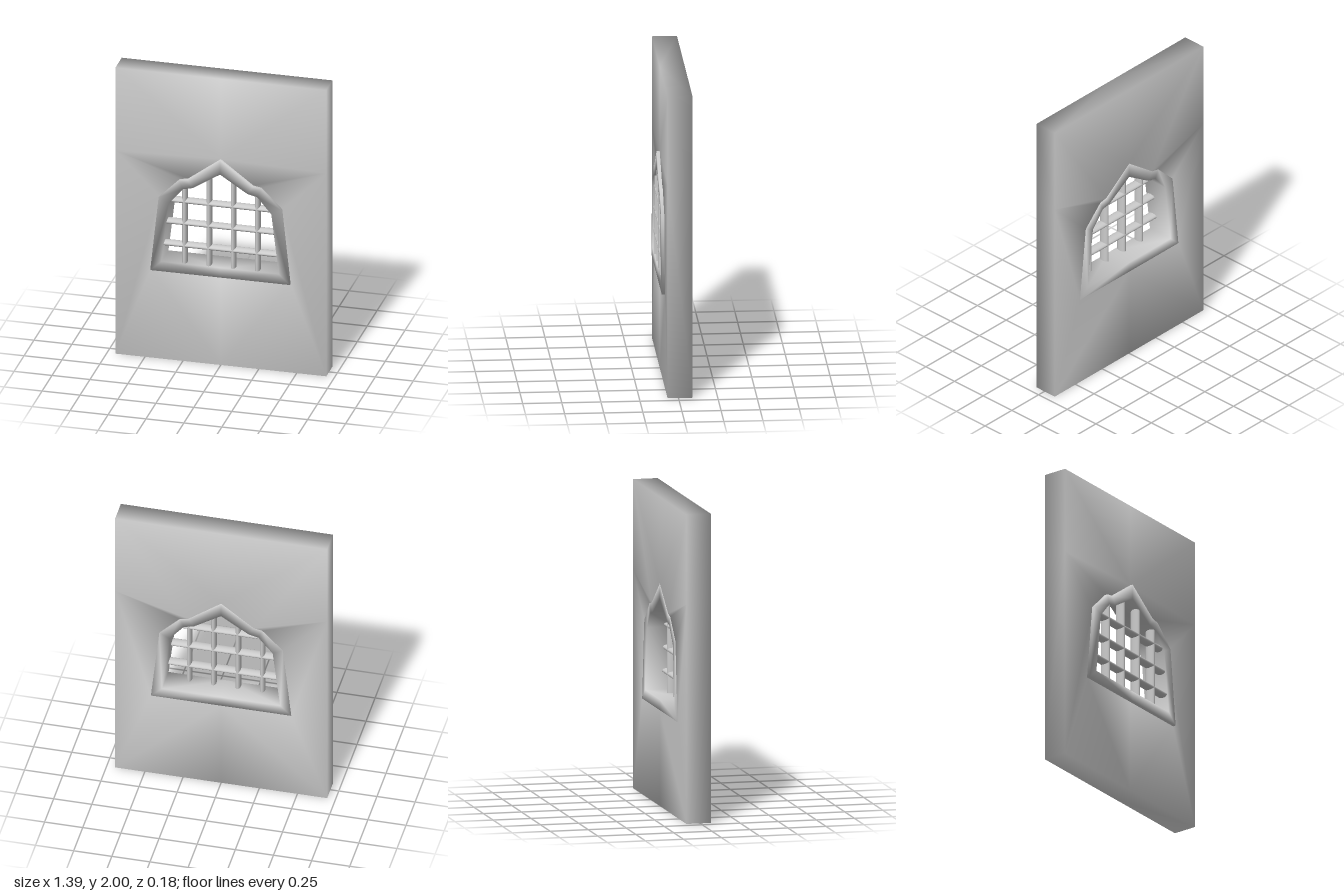
import * as THREE from 'three';
import { mergeVertices } from 'three/addons/utils/BufferGeometryUtils.js';

const BACK = -0.09, WALL_FRONT = 0.07, FRAME_FRONT = 0.09;
const BAR_RADIUS = 0.017, BAR_DEPTH = 2, BAR_Z = 0.052;

// Left halves of the outlines, from the bottom centre round to the top centre
const OUTER = [[0, 0.62], [-0.46, 0.62], [-0.405, 1.135], [-0.27, 1.27], [-0.215, 1.28], [0, 1.44]];
const INNER = [[0, 0.688], [-0.387, 0.688], [-0.338, 1.1], [-0.245, 1.21], [-0.18, 1.225], [0, 1.34]];

// Wall edge, point for point with the opening (the apex is used twice)
const WALL = [[0, 0], [-0.695, 0], [-0.695, 1.42], [-0.695, 1.42], [-0.695, 1.42], [-0.695, 2], [0, 2]];
const OPENING = [...OUTER, [0, 1.44]];

// Mirrors a half outline about x = 0 into a closed loop
function mirrored(half) {
  return [...half, ...half.slice(1, -1).reverse().map(([x, y]) => [-x, y])];
}

// Ring between two matched outlines, with normals shared across its edges
function softRing(outerHalf, innerHalf, front) {
  const outer = mirrored(outerHalf), inner = mirrored(innerHalf);
  const n = outer.length, positions = [], index = [];
  const loops = [[outer, BACK], [outer, front], [inner, front], [inner, BACK]];
  for (const [loop, z] of loops) for (const [x, y] of loop) positions.push(x, y, z);

  for (let k = 0; k < 4; k++) {
    for (let i = 0; i < n; i++) {
      const j = (i + 1) % n, next = (k + 1) % 4;
      const a = k * n + i, b = k * n + j, c = next * n + i, d = next * n + j;
      // The diagonal flips on the right half to keep the ring symmetric
      if (i < n / 2) index.push(a, d, b, a, c, d);
      else index.push(a, c, b, b, c, d);
    }
  }

  let geo = new THREE.BufferGeometry();
  geo.setAttribute('position', new THREE.Float32BufferAttribute(positions, 3));
  geo.setIndex(index);
  geo = mergeVertices(geo, 1e-4);
  geo.computeVertexNormals();
  return geo;
}

// Follows the sloping inner outline: axis 0 gives y at an x, axis 1 gives x at a y
function innerAt(axis, value) {
  const i = INNER.findIndex((p, k) => k > 1 && value <= p[axis]);
  const a = INNER[i - 1], b = INNER[i];
  const t = (value - a[axis]) / (b[axis] - a[axis]);
  return THREE.MathUtils.lerp(a[1 - axis], b[1 - axis], t);
}

// Upright bar, deeper than it is wide
function barGeometry(length) {
  return new THREE.CylinderGeometry(BAR_RADIUS, BAR_RADIUS, length, 16).scale(1, 1, BAR_DEPTH);
}

export function createModel() {
  const model = new THREE.Group();
  model.name = 'barredWindowWall';
  const material = new THREE.MeshStandardMaterial({ color: 0xcccccc });

  const add = (name, geometry) => {
    const mesh = new THREE.Mesh(geometry, material);
    mesh.name = name;
    model.add(mesh);
    return mesh;
  };

  // Wall panel with the window opening
  add('wall', softRing(WALL, OPENING, WALL_FRONT));

  // Frame lining the opening and standing proud of the front
  add('windowFrame', softRing(OUTER, INNER, FRAME_FRONT));

  // Upright bars, sunk into the sill and arch
  [-0.24, -0.08, 0.08, 0.24].forEach((x, i) => {
    const bottom = 0.66, top = innerAt(0, -Math.abs(x)) + 0.025;
    const bar = add(`uprightBar${i + 1}`, barGeometry(top - bottom));
    bar.position.set(x, (bottom + top) / 2, BAR_Z);
  });

  // Cross bars, sunk into the jambs
  [0.81, 0.965, 1.118].forEach((y, i) => {
    const half = -innerAt(1, y) + 0.025;
    const bar = add(`crossBar${i + 1}`, barGeometry(half * 2));
    bar.rotation.z = Math.PI / 2;
    bar.position.set(0, y, BAR_Z);
  });

  return model;
}
